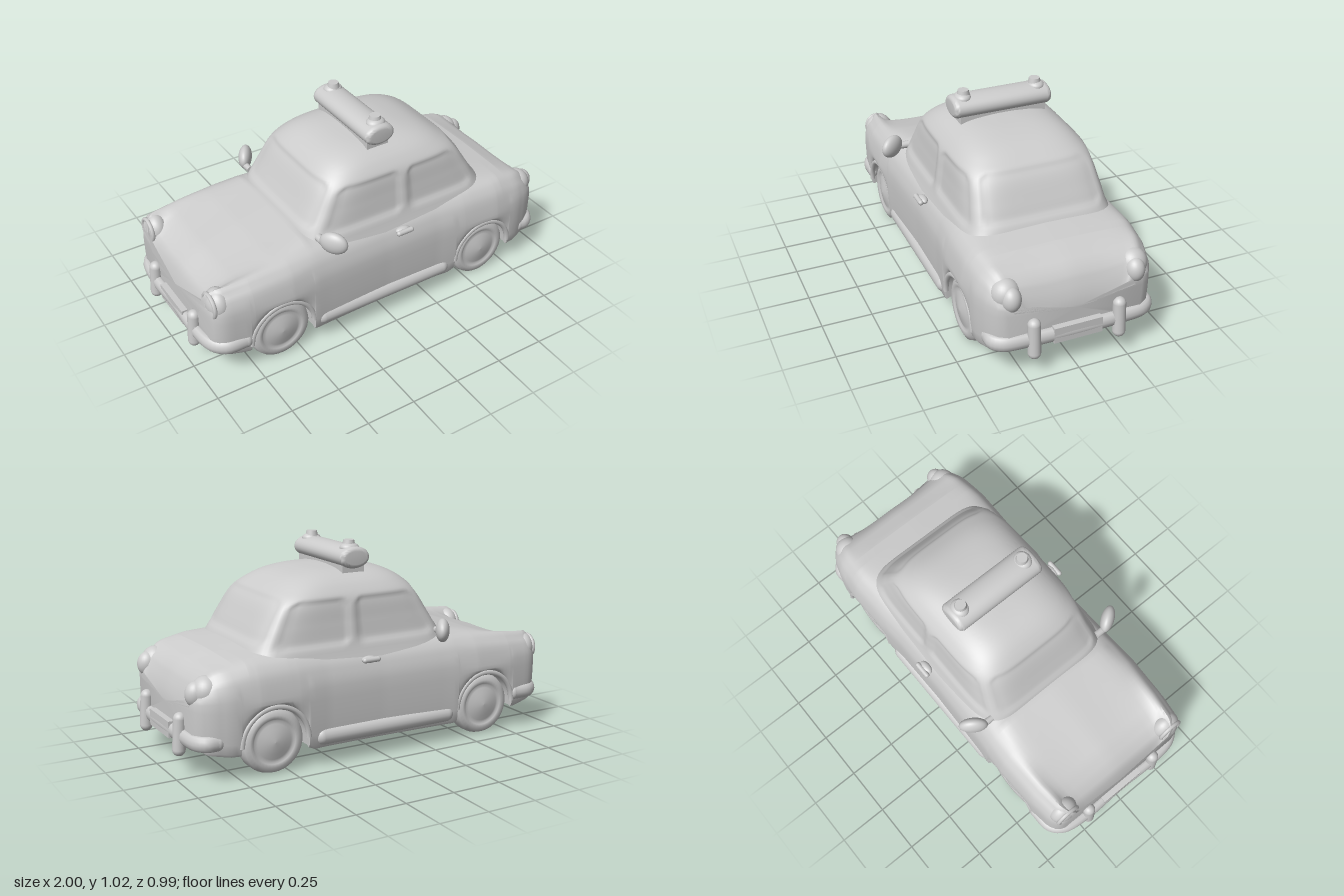
import * as THREE from 'three';
import { toCreasedNormals } from 'three/addons/utils/BufferGeometryUtils.js';

const grey = new THREE.MeshStandardMaterial({ color: 0xcccccc, side: THREE.DoubleSide });
const AXLES = [-0.6, 0.58], ARCH = 0.17, WHEEL_Y = 0.16;

// Straight interpolation in a table of [x, value] pairs
function table(rows) {
  return (x) => {
    if (x <= rows[0][0]) return rows[0][1];
    for (let i = 1; i < rows.length; i++) {
      const [a, p] = rows[i - 1], [b, q] = rows[i];
      if (x <= b) return p + (q - p) * (x - a) / (b - a);
    }
    return rows[rows.length - 1][1];
  };
}

// Skin closed rings of Vector3 and cap both ends
function loft(rings, crease) {
  const n = rings[0].length, pos = [], idx = [];
  rings.forEach((r) => r.forEach((p) => pos.push(p.x, p.y, p.z)));
  for (let i = 0; i < rings.length - 1; i++) {
    for (let j = 0; j < n; j++) {
      const k = (j + 1) % n, a = i * n + j, b = i * n + k;
      idx.push(a, a + n, b, b, a + n, b + n);
    }
  }
  [0, rings.length - 1].forEach((i) => {
    const c = rings[i].reduce((s, p) => s.add(p), new THREE.Vector3()).divideScalar(n);
    const ci = pos.length / 3;
    pos.push(c.x, c.y, c.z);
    for (let j = 0; j < n; j++) {
      const a = i * n + j, b = i * n + (j + 1) % n;
      if (i === 0) idx.push(ci, a, b); else idx.push(ci, b, a);
    }
  });
  const g = new THREE.BufferGeometry();
  g.setAttribute('position', new THREE.Float32BufferAttribute(pos, 3));
  g.setIndex(idx);
  return toCreasedNormals(g, crease);
}

// Lower body: cross-sections along x, with wheel arches cut into the underside
function bodyGeometry() {
  const width = table([[-0.95, 0.36], [-0.935, 0.395], [-0.89, 0.42], [-0.75, 0.437], [-0.55, 0.445], [-0.35, 0.434],
    [0, 0.424], [0.3, 0.427], [0.45, 0.439], [0.65, 0.444], [0.8, 0.43], [0.88, 0.405], [0.93, 0.37], [0.95, 0.33]]);
  const fender = table([[-0.95, 0.43], [-0.94, 0.47], [-0.9, 0.497], [-0.7, 0.515], [-0.42, 0.535], [0, 0.53],
    [0.5, 0.54], [0.7, 0.535], [0.84, 0.51], [0.91, 0.465], [0.94, 0.415], [0.95, 0.38]]);
  const deck = table([[-0.95, 0.28], [-0.935, 0.35], [-0.91, 0.405], [-0.87, 0.445], [-0.8, 0.48], [-0.6, 0.535], [-0.42, 0.57],
    [0, 0.575], [0.6, 0.567], [0.75, 0.545], [0.85, 0.505], [0.9, 0.455], [0.935, 0.385], [0.95, 0.32]]);
  const floor = table([[-0.95, 0.19], [-0.9, 0.15], [-0.8, 0.13], [-0.46, 0.12], [-0.42, 0.1], [0.38, 0.1], [0.42, 0.12], [0.8, 0.13], [0.9, 0.145], [0.95, 0.18]]);
  const xs = [];
  for (let i = 0; i <= 76; i++) xs.push(-0.95 + i * 0.025);
  AXLES.forEach((c) => {
    for (let i = 0; i <= 24; i++) xs.push(c - ARCH * Math.cos(Math.PI * i / 24));
    xs.push(c - ARCH - 0.002, c + ARCH + 0.002);
  });
  xs.push(-0.94, -0.91, 0.91, 0.94);
  xs.sort((a, b) => a - b);
  const rings = xs.map((x) => {
    const w = width(x), f = fender(x), h = deck(x), b = floor(x);
    let a = b;
    AXLES.forEach((c) => {
      const d = ARCH * ARCH - (x - c) ** 2;
      if (d >= -1e-9) a = WHEEL_Y + Math.sqrt(Math.max(d, 0));
    });
    // the bonnet sits flat between the front wings, the boot blends into the rear ones
    const flat = x < -0.42 ? 0.8 : 0.6;
    const skin = new THREE.SplineCurve([[w - 0.035, a], [w - 0.008, a + 0.016], [w, 0.36], [w - 0.018, 0.36 * 0.45 + f * 0.55],
      [w * 0.9, f - 0.03], [w * 0.82, f], [w * 0.68, f * (1 - flat) + h * flat], [w * 0.36, h - 0.003], [0, h]]
      .map(([z, y]) => new THREE.Vector2(z, y))).getPoints(26);
    const half = [[0, b], [0.28, b], [0.28, a]].map(([z, y]) => new THREE.Vector2(z, y)).concat(skin);
    const mirrored = half.slice(1, -1).reverse().map((p) => new THREE.Vector2(-p.x, p.y));
    return half.concat(mirrored).map((p) => new THREE.Vector3(x, p.y, p.x));
  });
  return loft(rings, 0.8);
}

// Cabin: rounded plan outlines stacked in y, with the windows pressed in
function cabinGeometry() {
  // y, front x, rear x, half width
  const rows = [[0.46, -0.43, 0.68, 0.4], [0.56, -0.405, 0.625, 0.368], [0.66, -0.355, 0.575, 0.352], [0.76, -0.3, 0.515, 0.336],
    [0.82, -0.245, 0.44, 0.295], [0.86, -0.18, 0.36, 0.24], [0.883, -0.1, 0.26, 0.17], [0.893, 0, 0.16, 0.07], [0.895, 0.06, 0.1, 0.02]];
  const curves = [1, 2, 3].map((k) => new THREE.SplineCurve(rows.map((r) => new THREE.Vector2(r[0], r[k]))));
  const step = (d) => THREE.MathUtils.smoothstep(d, 0, 0.03);
  const inside = (u, u0, u1, v, v0, v1) => {
    const a = Math.max(0, 0.05 - Math.min(u - u0, u1 - u)), b = Math.max(0, 0.05 - Math.min(v - v0, v1 - v));
    return step(0.05 - Math.hypot(a, b));
  };
  const rings = [];
  for (let i = 0; i <= 64; i++) {
    const [f, r, w] = curves.map((c) => c.getPoint(i / 64));
    const y = f.x, cx = (f.y + r.y) / 2, rx = (r.y - f.y) / 2, ring = [];
    // squarer corners at the base, rounder towards the roof
    const n = THREE.MathUtils.mapLinear(y, 0.46, 0.9, 8, 3.5);
    for (let j = 0; j < 160; j++) {
      const t = j / 160 * Math.PI * 2, c = Math.cos(t), s = Math.sin(t);
      const k = 1 / (Math.abs(c) ** n + Math.abs(s) ** n) ** (1 / n);
      let x = cx + rx * k * c, z = w.y * k * s;
      if (Math.abs(s) > Math.abs(c)) {
        const press = inside(x, f.y + 0.07, 0.12, y, 0.55, 0.785) + inside(x, 0.14, r.y - 0.07, y, 0.55, 0.785);
        z -= Math.sign(z) * 0.012 * press;
      } else {
        x -= Math.sign(c) * 0.012 * inside(z, -w.y + 0.05, w.y - 0.05, y, 0.575, 0.8);
      }
      ring.push(new THREE.Vector3(x, y, z));
    }
    rings.push(ring);
  }
  return loft(rings, 0.9);
}

function wheelGeometry() {
  const pts = [[0, -0.05], [0.12, -0.055], [0.148, -0.045], [0.157, -0.02], [0.157, 0.02], [0.148, 0.045], [0.125, 0.056],
    [0.108, 0.053], [0.1, 0.046], [0.085, 0.05], [0.06, 0.056], [0.03, 0.063], [0, 0.066]];
  return new THREE.LatheGeometry(pts.map(([r, y]) => new THREE.Vector2(r, y)), 40);
}

export function createModel() {
  const car = new THREE.Group();
  car.name = 'car';
  const add = (name, geo, x = 0, y = 0, z = 0) => {
    const m = new THREE.Mesh(geo, grey);
    m.name = name;
    m.position.set(x, y, z);
    car.add(m);
    return m;
  };
  const ball = (name, r, x, y, z, sx = 1, sy = 1, sz = 1) => {
    const m = add(name, new THREE.SphereGeometry(r, 28, 18), x, y, z);
    m.scale.set(sx, sy, sz);
    return m;
  };

  add('body', bodyGeometry());
  add('cabin', cabinGeometry());

  // Parts repeated on both sides
  for (const s of [1, -1]) {
    AXLES.forEach((x) => {
      add('wheel', wheelGeometry(), x, WHEEL_Y, s * 0.355).rotation.x = s * Math.PI / 2;
      add('archLip', new THREE.TorusGeometry(ARCH, 0.014, 8, 32, Math.PI), x, WHEEL_Y, s * 0.422);
    });
    const sill = add('sill', new THREE.CapsuleGeometry(0.045, 0.7, 8, 20), -0.02, 0.146, s * 0.398);
    sill.rotation.z = Math.PI / 2;

    ball('headlight', 0.078, -0.89, 0.412, s * 0.335, 0.75, 1, 0.95);
    add('headlightRim', new THREE.TorusGeometry(0.058, 0.011, 8, 28), -0.929, 0.412, s * 0.335).rotation.y = Math.PI / 2;
    ball('tailLight', 0.056, 0.914, 0.41, s * 0.305, 0.95, 1.1, 0.85);
    ball('tailLightHousing', 0.07, 0.87, 0.42, s * 0.315, 1, 1.05, 1);

    const mirror = ball('mirror', 0.057, -0.325, 0.582, s * 0.432, 0.6, 1, 1.25);
    mirror.rotation.y = s * 0.6;
    const arm = add('mirrorArm', new THREE.CylinderGeometry(0.015, 0.02, 0.08, 12), -0.35, 0.565, s * 0.375);
    arm.rotation.x = Math.PI / 2;

    const handle = add('doorHandle', new THREE.CapsuleGeometry(0.013, 0.07, 6, 14), 0.08, 0.488, s * 0.435);
    handle.rotation.z = Math.PI / 2;
    ball('handleMount', 0.022, 0.08, 0.485, s * 0.412, 1.8, 0.8, 1);

    // Roof sign lamps
    ball('signLampBase', 0.044, 0.06, 0.985, s * 0.19, 1.1, 0.6, 0.95);
    add('signLamp', new THREE.CylinderGeometry(0.026, 0.034, 0.035, 20), 0.06, 1.006, s * 0.185);
  }

  // Bumpers with overriders: [end, path of the half bar as x, z]
  const bumpers = [
    [-1, [[0.79, 0.412], [0.89, 0.405], [0.94, 0.355], [0.96, 0.22]]],
    [1, [[0.85, 0.39], [0.9, 0.388], [0.935, 0.35], [0.95, 0.22]]],
  ];
  for (const [e, halfPath] of bumpers) {
    const path = [...halfPath, [0.955, 0], ...halfPath.slice().reverse().map(([x, z]) => [x, -z])]
      .map(([x, z]) => new THREE.Vector3(e * x, 0, z));
    const bar = new THREE.TubeGeometry(new THREE.CatmullRomCurve3(path), 60, 0.028, 12);
    add('bumper', bar, 0, 0.195, 0).scale.y = 1.35;
    for (const s of [1, -1]) {
      ball('bumperEnd', 0.028, e * halfPath[0][0], 0.195, s * halfPath[0][1], 1, 1.35, 1);
      const over = add('overrider', new THREE.CapsuleGeometry(0.031, 0.145, 8, 18), e * 0.964, 0.205, s * 0.212);
      over.rotation.z = e * 0.06;
    }
    add('numberPlate', new THREE.BoxGeometry(0.03, 0.08, 0.24), e * 0.966, 0.2, 0);
  }

  // Roof sign
  add('signBase', new THREE.BoxGeometry(0.12, 0.06, 0.44), 0.055, 0.895, 0);
  const shape = new THREE.Shape();
  shape.absellipse(0, 0, 0.06, 0.033, 0, Math.PI * 2);
  const sign = new THREE.ExtrudeGeometry(shape, { depth: 0.45, bevelEnabled: true, bevelThickness: 0.025, bevelSize: 0.02, bevelSegments: 5, curveSegments: 20 });
  sign.translate(0, 0, -0.225);
  add('roofSign', toCreasedNormals(sign, 0.8), 0.055, 0.942, 0);
  return car;
}
